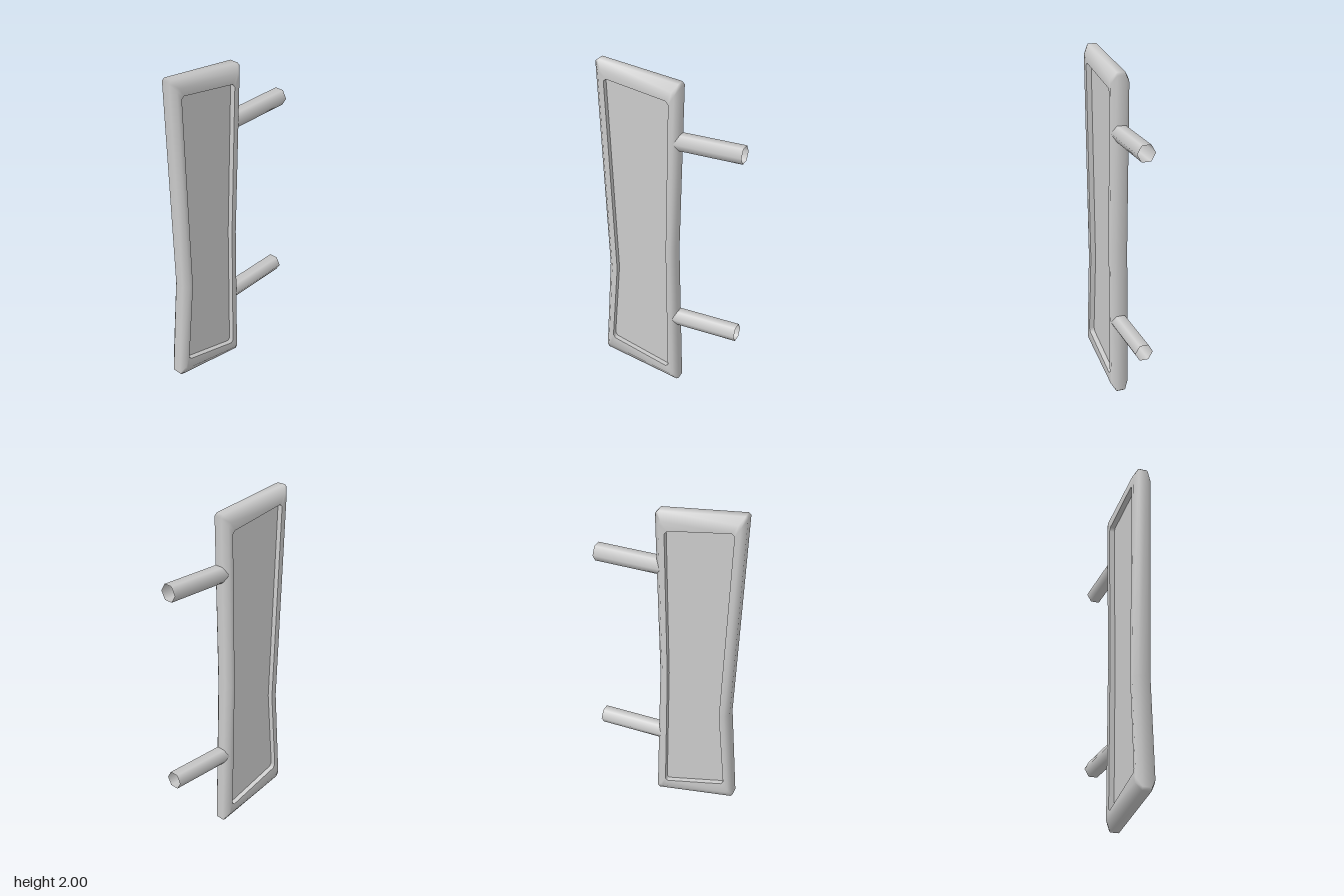
import * as THREE from 'three';

const material = new THREE.MeshStandardMaterial({ color: 0xcccccc, side: THREE.DoubleSide });

// Outline as [z, y] points; the four corners are cut by a small bevel, the two waist points stay.
function outline(points, cut) {
  const v = points.map(([z, y]) => new THREE.Vector2(z, y));
  const n = v.length;
  return v.flatMap((p, i) => {
    if (i === 2 || i === 5) return [p];
    const toward = (q) => p.clone().add(q.clone().sub(p).setLength(cut));
    return [toward(v[(i + n - 1) % n]), toward(v[(i + 1) % n])];
  });
}

const outer = outline([[0.425, 2.002], [-0.07, 1.938], [-0.045, 0.92], [-0.068, 0], [0.425, 0.1], [0.38, 0.73]], 0.014);
const inner = outline([[0.368, 1.908], [-0.01, 1.843], [0.007, 0.92], [-0.006, 0.097], [0.368, 0.204], [0.324, 0.72]], 0.016);

// Skin a list of [inset 0..1, x] rings between the outer and inner outlines.
function loft(rings) {
  const n = outer.length;
  const pos = [];
  const index = [];
  for (const [t, x] of rings) {
    outer.forEach((p, i) => {
      const q = p.clone().lerp(inner[i], t);
      pos.push(x, q.y, q.x);
    });
  }
  for (let k = 0; k < rings.length - 1; k++) {
    for (let i = 0; i < n; i++) {
      const j = (i + 1) % n;
      const a = k * n + i, b = a + n, c = (k + 1) * n + j, d = k * n + j;
      index.push(a, b, c, a, c, d);
    }
  }
  const g = new THREE.BufferGeometry();
  g.setAttribute('position', new THREE.Float32BufferAttribute(pos, 3));
  g.setIndex(index);
  g.computeVertexNormals();
  return g;
}

export function createModel() {
  const model = new THREE.Group();
  model.name = 'pullHandle';
  const add = (name, geometry) => {
    const mesh = new THREE.Mesh(geometry, material);
    mesh.name = name;
    model.add(mesh);
    return mesh;
  };

  // Soft bevelled frame around the plate
  add('frame', loft([[1, -0.05], [0.45, -0.052], [0, -0.025], [0, 0.025], [0.45, 0.052], [1, 0.05]]));

  // Step from the frame down to the sunken panel, on both faces
  add('leftRecessWall', loft([[1, 0.05], [1, 0.02]]));
  add('rightRecessWall', loft([[1, -0.02], [1, -0.05]]));

  // Sunken panel
  const shape = new THREE.Shape(inner.map((p) => new THREE.Vector2(-p.x, p.y)));
  const panel = new THREE.ExtrudeGeometry(shape, { depth: 0.04, bevelEnabled: false });
  panel.translate(0, 0, -0.02).rotateY(Math.PI / 2);
  add('panel', panel);

  // Hollow six-sided mounting posts behind the frame
  const front = -0.02, back = -0.425;
  for (const [name, y] of [['upperPost', 1.608], ['lowerPost', 0.463]]) {
    const post = new THREE.CylinderGeometry(0.051, 0.051, front - back, 6, 1, true, Math.PI / 2);
    post.rotateX(Math.PI / 2);
    add(name, post).position.set(0, y, (front + back) / 2);
  }
  return model;
}
